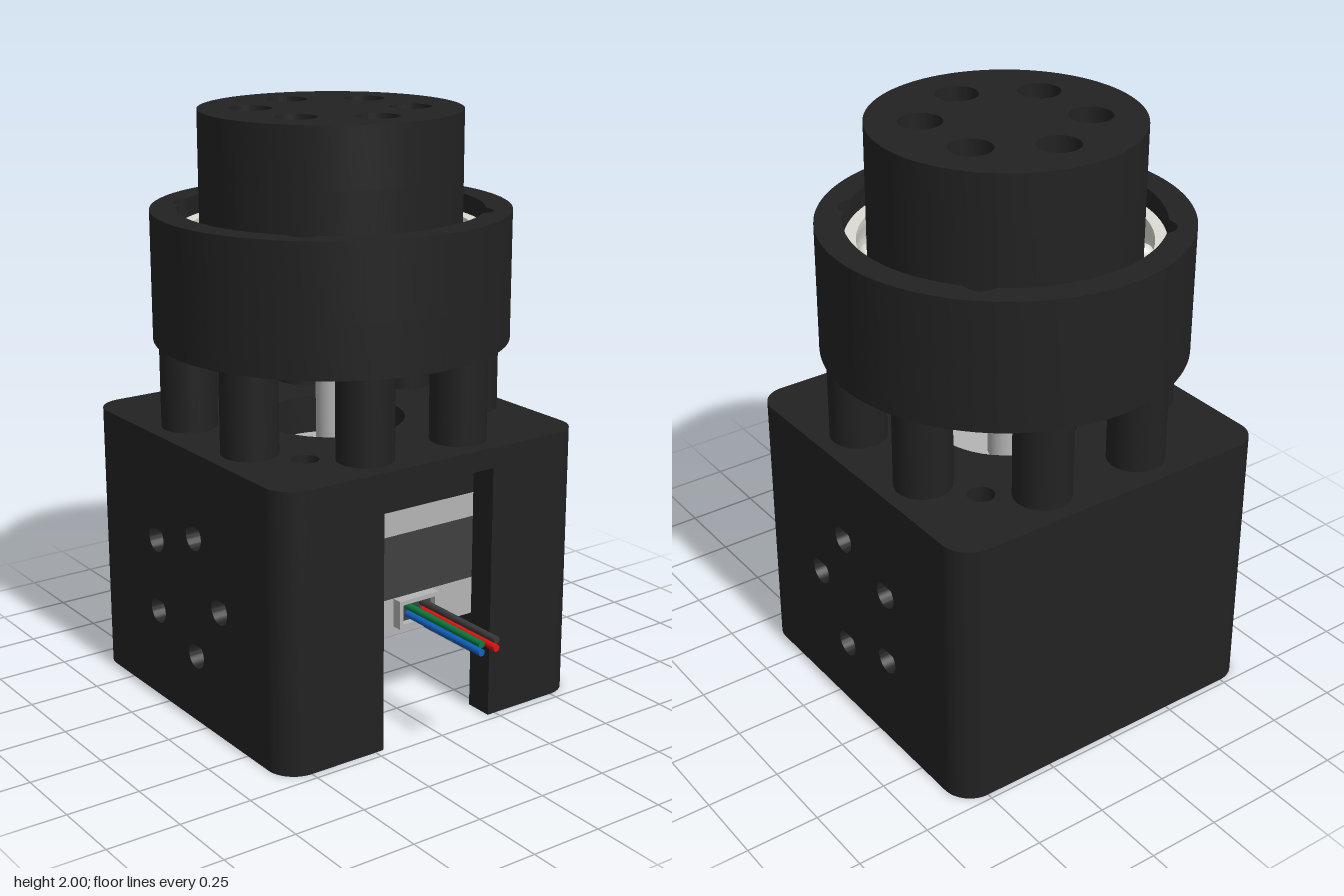
import * as THREE from 'three';
import { toCreasedNormals } from 'three/addons/utils/BufferGeometryUtils.js';

const mat = (color) => new THREE.MeshStandardMaterial({ color });
const BLACK = mat(0x222222), DARK = mat(0x404040), METAL = mat(0xb4b4b4), RACE = mat(0xdcdcd4);
const PI = Math.PI;

export function createModel() {
  const root = new THREE.Group();
  const g = new THREE.Group();
  g.name = 'actuator';
  g.position.z = -0.13;
  root.add(g);

  const add = (name, geo, material, x = 0, y = 0, z = 0) => {
    const m = new THREE.Mesh(geo, material);
    m.name = name;
    m.position.set(x, y, z);
    g.add(m);
    return m;
  };
  const poly = (pts) => new THREE.Shape(pts.map((p) => new THREE.Vector2(p[0], p[1])));
  const circle = (r, x = 0, z = 0, Type = THREE.Path) => {
    const p = new Type();
    p.absarc(x, z, r, 0, PI * 2, false);
    return p;
  };
  const extrude = (shape, depth, seg) => new THREE.ExtrudeGeometry(shape, { depth, bevelEnabled: false, curveSegments: seg });
  // shape drawn in (x, z), raised from y0 to y1
  const slab = (shape, y0, y1, seg = 24) =>
    toCreasedNormals(extrude(shape, y1 - y0, seg).rotateX(PI / 2).translate(0, y1, 0), 0.6);
  const cyl = (r, y0, y1, seg = 32) => new THREE.CylinderGeometry(r, r, y1 - y0, seg).translate(0, (y0 + y1) / 2, 0);
  const corners = [[1, 1], [1, -1], [-1, 1], [-1, -1]];
  const S = 0.344; // motor screw spacing

  // Lower case: side walls with a pentagon of teardrop holes
  const side = poly([[-0.5, 0], [0.5, 0], [0.5, 0.95], [-0.5, 0.95]]);
  for (let i = 0; i < 5; i++) {
    const a = (i * 2 * PI) / 5, r = 0.048;
    const u = -0.22 * Math.cos(a), v = 0.45 + 0.22 * Math.sin(a);
    const h = new THREE.Path();
    h.moveTo(u, v + r * 1.4142);
    h.absarc(u, v, r, PI * 0.75, PI * 2.25, false);
    h.closePath();
    side.holes.push(h);
  }
  const sideGeo = toCreasedNormals(extrude(side, 0.1, 16).rotateY(PI / 2), 0.6);
  add('leftCaseWall', sideGeo, BLACK, 0.5);
  add('rightCaseWall', sideGeo, BLACK, -0.6);

  // Back wall and the two front walls beside the slot, with rounded corners
  const back = new THREE.Shape();
  back.moveTo(0.6, -0.5);
  back.lineTo(-0.6, -0.5);
  back.absarc(-0.5, -0.5, 0.1, PI, PI * 1.5, false);
  back.absarc(0.5, -0.5, 0.1, PI * 1.5, PI * 2, false);
  add('backCaseWall', slab(back, 0, 0.95, 10), BLACK);
  const frontL = new THREE.Shape();
  frontL.moveTo(0.22, 0.5);
  frontL.lineTo(0.6, 0.5);
  frontL.absarc(0.5, 0.5, 0.1, 0, PI / 2, false);
  frontL.lineTo(0.22, 0.6);
  add('frontCaseWallLeft', slab(frontL, 0, 0.95, 10), BLACK);
  const frontR = new THREE.Shape();
  frontR.moveTo(-0.22, 0.5);
  frontR.lineTo(-0.22, 0.6);
  frontR.lineTo(-0.5, 0.6);
  frontR.absarc(-0.5, 0.5, 0.1, PI / 2, PI, false);
  add('frontCaseWallRight', slab(frontR, 0, 0.95, 10), BLACK);
  add('slotLintel', new THREE.BoxGeometry(0.44, 0.07, 0.1), BLACK, 0, 0.915, 0.55);

  // Motor mounting plate
  const plate = poly([[-0.5, -0.5], [0.5, -0.5], [0.5, 0.5], [-0.5, 0.5]]);
  plate.holes.push(circle(0.25));
  corners.forEach(([x, z]) => plate.holes.push(circle(0.045, x * S, z * S)));
  add('mountingPlate', slab(plate, 0.77, 0.95), BLACK);

  // Motor: light end caps around a dark core
  const square = (h, c) => poly([[h, -h + c], [h, h - c], [h - c, h], [-h + c, h],
    [-h, h - c], [-h, -h + c], [-h + c, -h], [h - c, -h]]);
  add('motorLowerCap', slab(square(0.465, 0.06), 0.32, 0.45), METAL);
  add('motorCore', slab(square(0.463, 0.1), 0.45, 0.67), DARK);
  add('motorUpperCap', slab(square(0.465, 0.06), 0.67, 0.768), METAL);
  add('motorBoss', cyl(0.24, 0.76, 0.82, 48), METAL);
  add('motorShaft', cyl(0.055, 0.8, 1.175), METAL);
  add('shaftChamfer', new THREE.CylinderGeometry(0.042, 0.055, 0.015, 32), METAL, 0, 1.1825);
  const ringHole = circle(0.1, 0, 0, THREE.Shape);
  ringHole.holes.push(circle(0.055));
  add('motorRearBearing', slab(ringHole, 0.305, 0.325), METAL);
  corners.forEach(([x, z]) => {
    add('motorScrew', cyl(0.055, 0.295, 0.325, 24), METAL, x * S, 0, z * S);
    add('motorScrewSocket', cyl(0.025, 0.293, 0.3, 6), DARK, x * S, 0, z * S);
  });

  // Connector and its four wires
  const frame = poly([[-0.08, 0.352], [0.08, 0.352], [0.08, 0.45], [-0.08, 0.45]]);
  frame.holes.push(poly([[-0.065, 0.367], [-0.065, 0.435], [0.065, 0.435], [0.065, 0.367]]));
  add('connectorFrame', extrude(frame, 0.04), METAL, 0, 0, 0.46);
  add('connectorCore', new THREE.BoxGeometry(0.13, 0.068, 0.02), DARK, 0, 0.401, 0.465);
  [[0.03, 0.417, 0x3a3a3a], [-0.03, 0.417, 0x0a7a3c], [-0.03, 0.389, 0x1060c0], [0.03, 0.389, 0xe01010]]
    .forEach(([x, y, c]) =>
      add('wire', new THREE.CylinderGeometry(0.012, 0.012, 0.395, 16).rotateX(PI / 2), mat(c), x, y, 0.6625));

  // Ring of eight pillars
  for (let i = 0; i < 8; i++) {
    const a = ((i + 0.5) * PI) / 4;
    add('pillar', cyl(0.095, 0.95, 1.24), BLACK, 0.49 * Math.cos(a), 0, 0.49 * Math.sin(a));
  }

  // Bearing housing: floor with screw access holes, and a wall notched in line with them
  const floor = circle(0.6, 0, 0, THREE.Shape);
  floor.holes.push(circle(0.39));
  corners.forEach(([x, z]) => floor.holes.push(circle(0.052, x * S, z * S)));
  add('housingFloor', slab(floor, 1.24, 1.42, 48), BLACK);
  const wall = circle(0.6, 0, 0, THREE.Shape);
  const inner = [];
  for (let i = 0; i < 240; i++) {
    const a = (i * PI) / 120;
    const d = (a % (PI / 2)) - PI / 4, R = S * Math.SQRT2, q = 0.052 ** 2 - (R * Math.sin(d)) ** 2;
    const r = Math.max(0.51, q > 0 ? R * Math.cos(d) + Math.sqrt(q) : 0);
    inner.push(new THREE.Vector2(r * Math.cos(a), r * Math.sin(a)));
  }
  wall.holes.push(new THREE.Path(inner));
  add('housingWall', slab(wall, 1.42, 1.675, 48), BLACK);

  // Ball bearing
  const race = [[0.445, 1.42], [0.51, 1.42], [0.51, 1.61], [0.47, 1.61], [0.47, 1.575],
    [0.485, 1.54], [0.482, 1.5], [0.465, 1.47], [0.445, 1.455], [0.445, 1.42]];
  add('outerRace', toCreasedNormals(new THREE.LatheGeometry(race.map((p) => new THREE.Vector2(...p)), 96), 0.5), RACE);
  const ball = new THREE.SphereGeometry(0.034, 20, 14);
  for (let i = 0; i < 20; i++) {
    const a = (i * PI) / 10;
    add('ball', ball, RACE, 0.437 * Math.cos(a), 1.545, 0.437 * Math.sin(a));
  }

  // Output rotor with six blind holes
  add('rotorBody', cyl(0.437, 1.42, 1.8, 96), BLACK);
  const cap = circle(0.437, 0, 0, THREE.Shape);
  for (let i = 0; i < 6; i++) {
    const a = PI / 2 + (i * PI) / 3;
    cap.holes.push(circle(0.07, 0.262 * Math.cos(a), 0.262 * Math.sin(a)));
  }
  add('rotorCap', slab(cap, 1.8, 2, 48), BLACK);
  return root;
}
